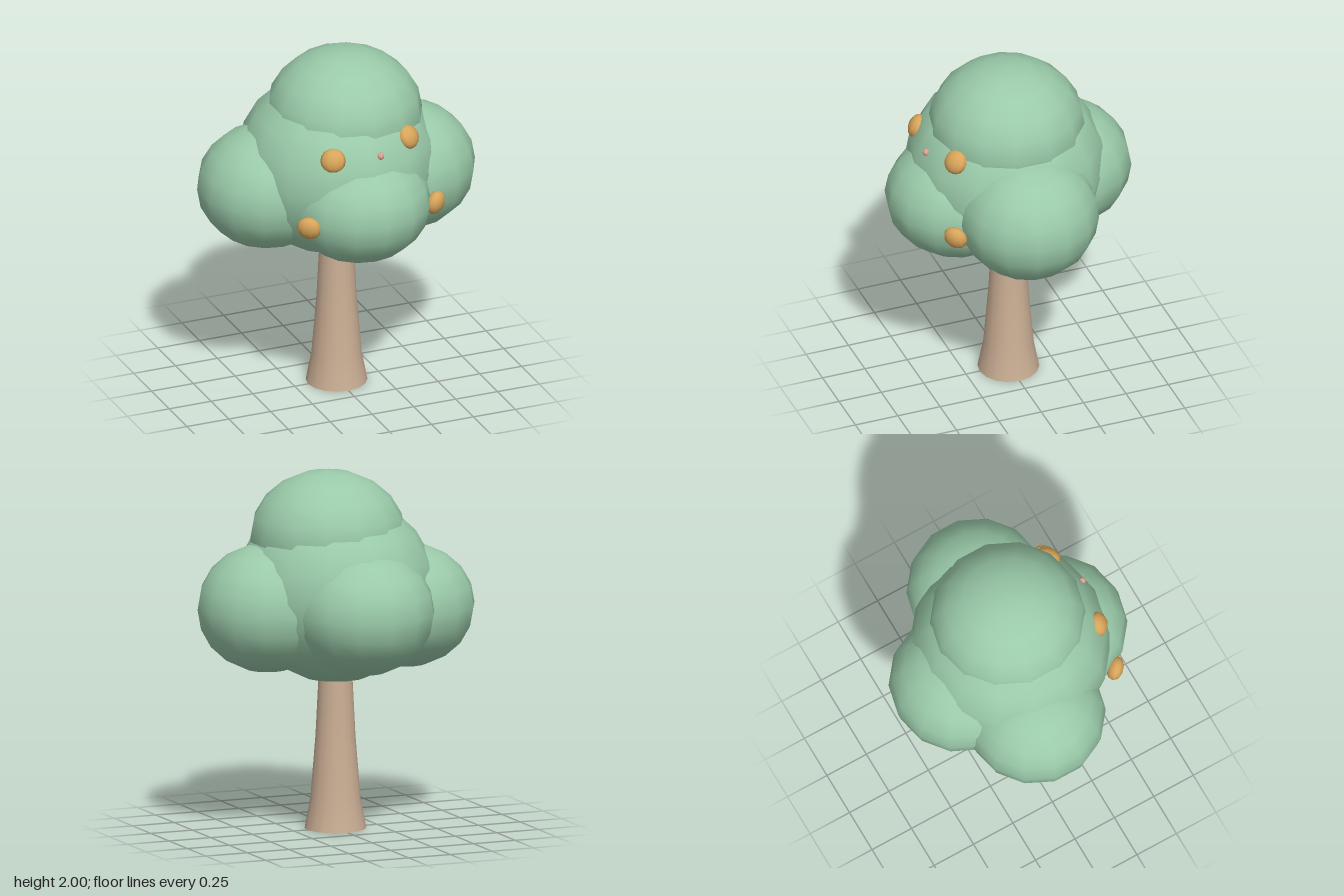
import * as THREE from 'three';

const material = (name, color) => {
  const m = new THREE.MeshStandardMaterial({ color });
  m.name = name;
  return m;
};

export function createModel() {
  const tree = new THREE.Group();
  tree.name = 'tree';
  const leafGreen = material('leafGreen', 0x9acaa9);
  const barkBrown = material('barkBrown', 0xcaae94);
  const fruitOrange = material('fruitOrange', 0xd9a55a);
  const budPink = material('budPink', 0xe0a090);

  const add = (name, geometry, mat, position) => {
    const mesh = new THREE.Mesh(geometry, mat);
    mesh.name = name;
    mesh.position.set(...position);
    tree.add(mesh);
    return mesh;
  };

  // Trunk: flared foot tapering up into the crown, closed underneath
  const profile = [[0.17, 0], [0.138, 0.17], [0.11, 0.52], [0.095, 0.82], [0.09, 0.95]];
  add('trunk', new THREE.LatheGeometry(profile.map(p => new THREE.Vector2(...p)), 16), barkBrown, [0, 0, 0]);
  add('trunkBase', new THREE.CircleGeometry(0.17, 16).rotateX(Math.PI / 2), barkBrown, [0, 0, 0]);

  // Crown: slightly squashed leaf balls, [name, centre, radius, half height]
  const ball = new THREE.SphereGeometry(1, 14, 10).rotateY(Math.PI / 2);
  const clumps = [
    ['crownCore', [-0.005, 1.34, 0.015], 0.56, 0.52],
    ['crownTop', [0.035, 1.63, 0.025], 0.435, 0.37],
    ['crownLeft', [0.395, 1.255, 0.035], 0.39, 0.357],
    ['crownRight', [-0.395, 1.23, -0.05], 0.39, 0.345],
    ['crownFront', [0.005, 1.21, 0.305], 0.4, 0.33],
    ['crownBack', [-0.03, 1.255, -0.31], 0.4, 0.35],
  ];
  for (const [name, centre, r, h] of clumps) {
    add(name, ball, leafGreen, centre).scale.set(r, h, r);
  }

  // Fruits: flattened along the direction facing out of the crown
  const fruit = new THREE.SphereGeometry(1, 10, 8).scale(0.07, 0.068, 0.046);
  const fruits = [[-0.215, 1.56, 0.458], [0.255, 1.6, 0.41], [-0.365, 1.185, 0.475], [0.395, 1.2, 0.465]];
  fruits.forEach((p, i) => {
    const out = new THREE.Vector3(p[0], p[1] - 1.34, p[2]);
    const mesh = add('fruit' + (i + 1), fruit, fruitOrange, p);
    mesh.lookAt(out.add(mesh.position));
  });

  // Tiny bud between the upper fruits
  add('bud', new THREE.SphereGeometry(0.02, 8, 6), budPink, [0.05, 1.56, 0.505]);

  return tree;
}
